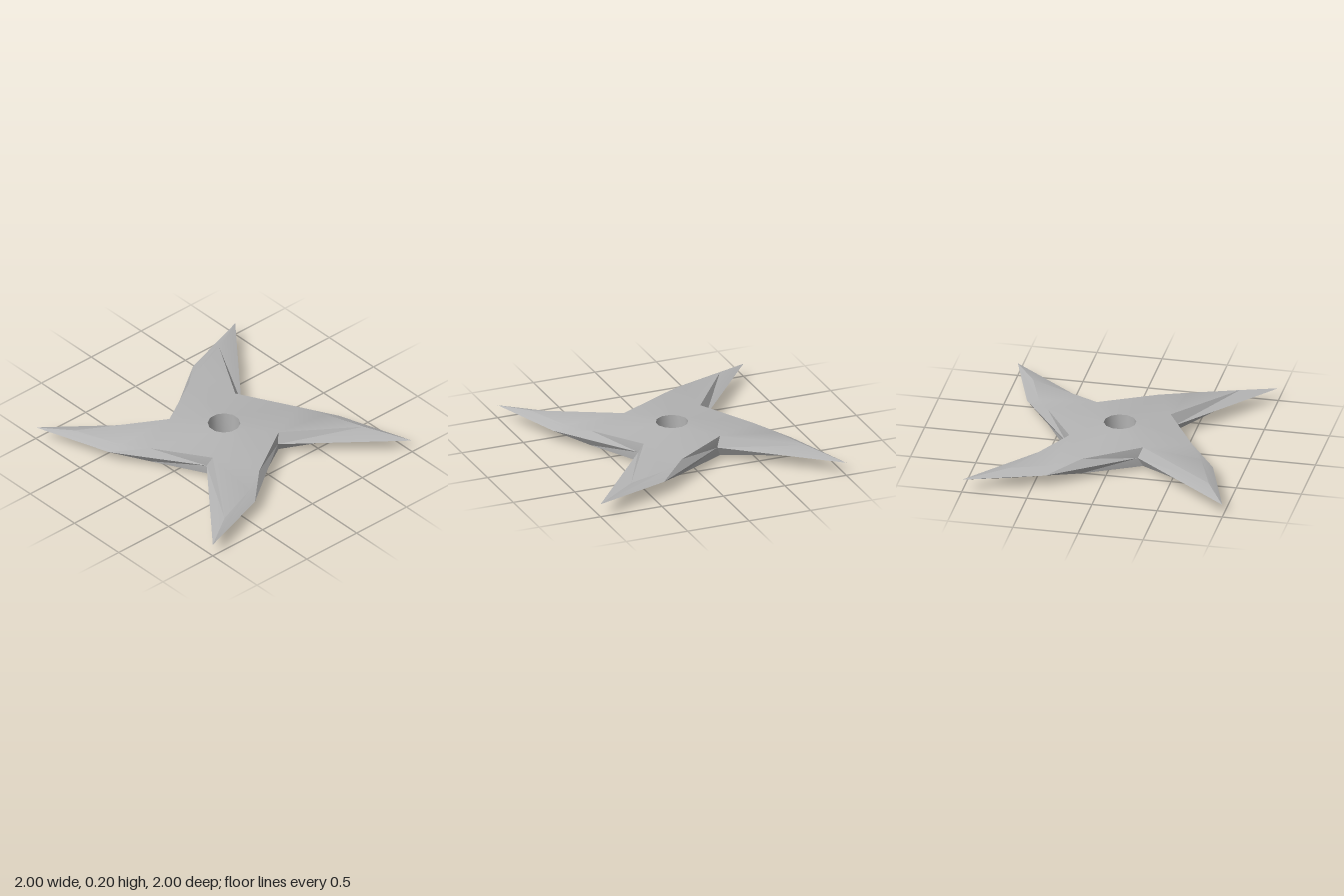
import * as THREE from 'three';
import { toCreasedNormals } from 'three/addons/utils/BufferGeometryUtils.js';

const MID = 0.1025; // height of the cutting edge
const HOLE = 0.123;

// quarter turn about y, k times
function turn([x, y, z], k) {
  for (let i = 0; i < k; i++) [x, z] = [z, -x];
  return [x, y, z];
}

function rimPoint(i, y) {
  const a = ((15 + 30 * i) * Math.PI) / 180;
  return [HOLE * Math.cos(a), y, -HOLE * Math.sin(a)];
}

function toGeometry(triangles, crease) {
  const geometry = new THREE.BufferGeometry();
  geometry.setAttribute('position', new THREE.Float32BufferAttribute(triangles.flat(2), 3));
  return toCreasedNormals(geometry, crease);
}

// upper triangles of one arm; y is measured from the cutting edge
function armTriangles(ridge) {
  const notch = [0.365, 0, -0.215];
  const shoulder = [0.335, 0.078, -0.25];
  const tip = [1, 0, -1];
  const corner = [0.4, 0, -0.8];
  const inner = [0.36, 0.04, -0.7];
  const crease = [0.17, 0.06, -0.59];
  const nextNotch = turn(notch, 1);
  const nextShoulder = turn(shoulder, 1);
  const r = [1, 2, 3, 4].map((i) => rimPoint(i, MID));
  return [
    // broad face
    [shoulder, ridge, inner], [shoulder, inner, crease], [ridge, tip, inner],
    // hub around the hole
    [shoulder, crease, r[1]], [shoulder, r[1], r[0]], [crease, r[2], r[1]],
    [crease, nextShoulder, r[2]], [nextShoulder, r[3], r[2]],
    // bevel on the straight side
    [notch, tip, ridge], [notch, ridge, shoulder],
    // bevel on the bent side
    [tip, corner, inner], [corner, crease, inner],
    [corner, nextNotch, crease], [nextNotch, nextShoulder, crease],
  ];
}

export function createModel() {
  const group = new THREE.Group();
  group.name = 'throwingStar';
  const steel = new THREE.MeshStandardMaterial({ color: 0xb4b4b4 });
  steel.name = 'steel';

  // four blades, each mirrored below the cutting edge
  const blade = [];
  for (let k = 0; k < 4; k++) {
    const ridge = k === 1 || k === 2 ? [0.74, 0.036, -0.84] : [0.67, 0.042, -0.81];
    for (const tri of armTriangles(ridge)) {
      const t = tri.map((p) => turn(p, k));
      blade.push(t.map(([x, y, z]) => [x, MID + y, z]));
      blade.push(t.map(([x, y, z]) => [x, MID - y, z]).reverse());
    }
  }
  const blades = new THREE.Mesh(toGeometry(blade, 0.45), steel);
  blades.name = 'blades';
  group.add(blades);

  // inner wall of the centre hole
  const wall = [];
  for (let i = 0; i < 12; i++) {
    const a = rimPoint(i, 0), b = rimPoint(i + 1, 0);
    const c = rimPoint(i + 1, 2 * MID), d = rimPoint(i, 2 * MID);
    wall.push([a, c, b], [a, d, c]);
  }
  const hole = new THREE.Mesh(toGeometry(wall, 0.6), steel);
  hole.name = 'holeWall';
  group.add(hole);

  return group;
}
